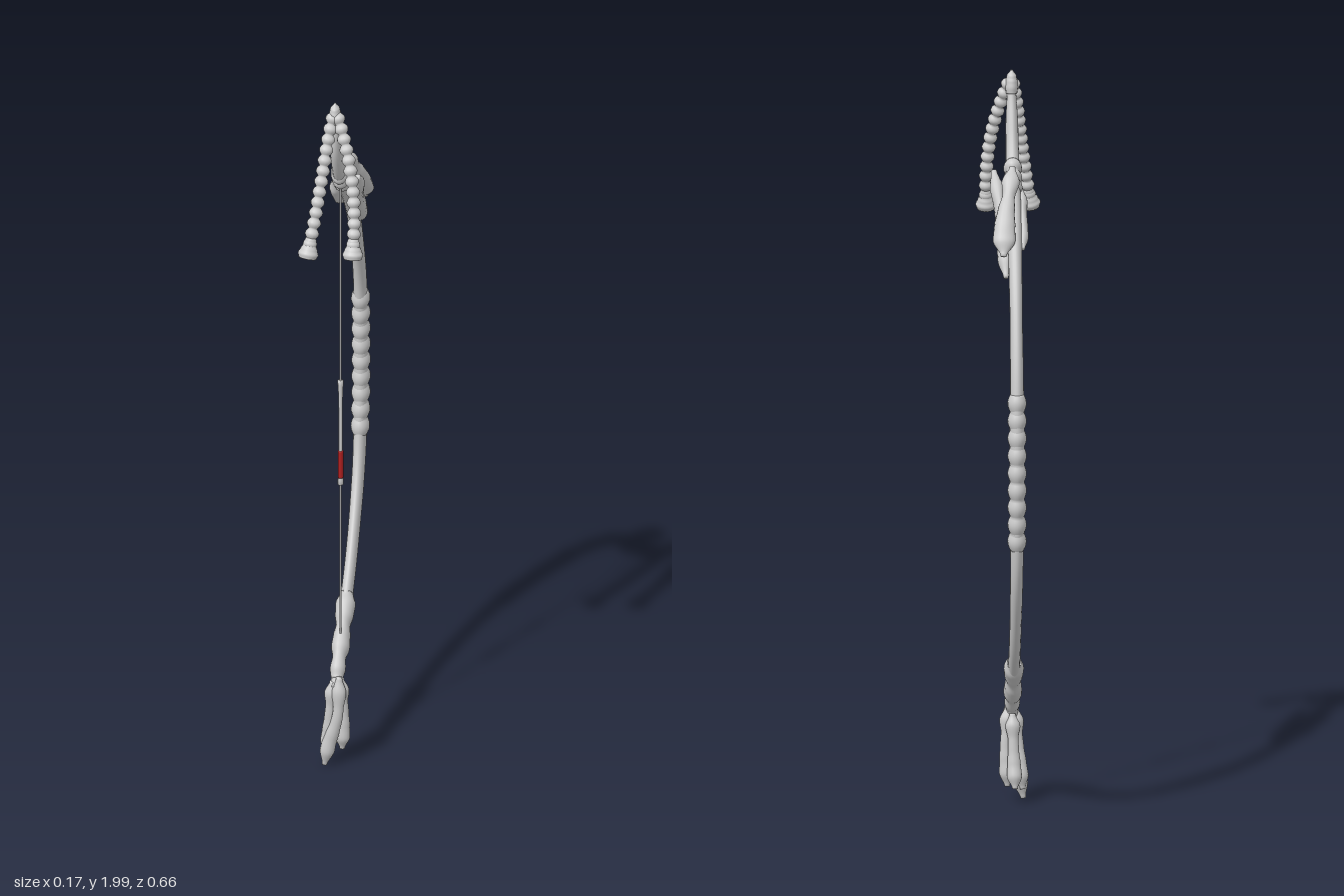
import * as THREE from 'three';

const grey = new THREE.MeshStandardMaterial({ color: 0xcccccc });
const red = new THREE.MeshStandardMaterial({ color: 0xb02020 });
const CX = -0.005; // the bow plane

const curveOf = pts => new THREE.CatmullRomCurve3(pts.map(p => new THREE.Vector3(...p)), false, 'centripetal');
// same, from [z, y] points lying in the bow plane
const planar = pts => curveOf(pts.map(([z, y]) => [CX, y, z]));

// smooth interpolation through evenly spaced values
function profile(values) {
  return t => {
    const f = Math.min(t, 0.99999) * (values.length - 1), i = Math.floor(f);
    return THREE.MathUtils.lerp(values[i], values[i + 1], THREE.MathUtils.smoothstep(f - i, 0, 1));
  };
}

// Closed elliptical tube: rx is the half width across x, rn the half depth in the bow plane
function sweep(name, curve, rx, rn, rows = 48, sides = 16, material = grey) {
  const pos = [], index = [];
  const T = new THREE.Vector3(), u = new THREE.Vector3(), v = new THREE.Vector3();
  for (let i = -1; i <= rows + 1; i++) {
    const t = THREE.MathUtils.clamp(i / rows, 0, 1);
    const size = i < 0 || i > rows ? 0 : 1; // end rings collapse into caps
    const p = curve.getPointAt(t);
    curve.getTangentAt(t, T);
    u.set(1, 0, 0).addScaledVector(T, -T.x).normalize();
    v.crossVectors(T, u);
    for (let j = 0; j < sides; j++) {
      const a = j / sides * Math.PI * 2;
      const q = p.clone().addScaledVector(u, Math.cos(a) * rx(t) * size).addScaledVector(v, Math.sin(a) * rn(t) * size);
      pos.push(q.x, q.y, q.z);
    }
  }
  for (let i = 0; i < rows + 2; i++) {
    for (let j = 0; j < sides; j++) {
      const a = i * sides + j, b = i * sides + (j + 1) % sides;
      index.push(a, b, a + sides, b, b + sides, a + sides);
    }
  }
  const g = new THREE.BufferGeometry();
  g.setAttribute('position', new THREE.Float32BufferAttribute(pos, 3));
  g.setIndex(index);
  g.computeVertexNormals();
  const mesh = new THREE.Mesh(g, material);
  mesh.name = name;
  return mesh;
}

// Rounded windings: radius swells n times along the length
const bulges = (r, depth, n) => t => r + depth * (Math.abs(Math.sin(t * n * Math.PI)) - 0.5);

function createRope(name, pts) {
  const group = new THREE.Group();
  group.name = name;
  const curve = curveOf(pts);
  const r = bulges(0.015, 0.008, 13);
  group.add(sweep('twistedCord', curve, r, r, 104, 14));
  // flared tassel at the loose end
  const end = curve.getPointAt(1), dir = curve.getTangentAt(1);
  const pt = d => end.clone().addScaledVector(dir, d).toArray();
  const flare = profile([0.012, 0.016, 0.018, 0.023, 0.028, 0.024]);
  group.add(sweep('tassel', curveOf([pt(-0.035), pt(0), pt(0.025)]), flare, flare, 20, 18));
  return group;
}

export function createModel() {
  const bow = new THREE.Group();
  bow.name = 'bow';

  // curved limb from top tip to bottom tip
  const limb = planar([
    [0.18, 1.985], [0.168, 1.9], [0.14, 1.82], [0.085, 1.74], [0, 1.67], [-0.1, 1.575], [-0.19, 1.45],
    [-0.258, 1.3], [-0.286, 1.18], [-0.293, 1], [-0.277, 0.8], [-0.25, 0.7], [-0.195, 0.6], [-0.11, 0.49],
    [-0.01, 0.4], [0.08, 0.325], [0.13, 0.285], [0.16, 0.24],
  ]);
  bow.add(sweep('limb', limb,
    profile([0.01, 0.017, 0.019, 0.02, 0.018, 0.017, 0.018, 0.02, 0.02, 0.018, 0.017, 0.016, 0.016, 0.018, 0.016]),
    profile([0.014, 0.031, 0.028, 0.03, 0.028, 0.029, 0.03, 0.03, 0.029, 0.03, 0.031, 0.031, 0.03, 0.027, 0.018]),
    120, 20));

  // rounded top cap where the ropes are tied
  const cap = profile([0.003, 0.013, 0.016, 0.017, 0.015]);
  bow.add(sweep('topCap', planar([[0.18, 1.998], [0.18, 1.97], [0.176, 1.935]]), cap, t => cap(t) * 1.45, 20));

  // wound grip
  bow.add(sweep('grip', planar([[-0.284, 1.21], [-0.292, 1.1], [-0.294, 1], [-0.288, 0.88], [-0.275, 0.785]]),
    bulges(0.022, 0.007, 9), bulges(0.031, 0.006, 9), 90, 20));

  // windings on the lower and upper limb
  bow.add(sweep('lowerBinding', planar([[-0.035, 0.425], [0.01, 0.385], [0.065, 0.335], [0.115, 0.295], [0.15, 0.26]]),
    profile([0.018, 0.027, 0.025, 0.019, 0.023, 0.025, 0.018, 0.021, 0.016]),
    profile([0.026, 0.034, 0.033, 0.028, 0.034, 0.034, 0.027, 0.028, 0.018]), 48, 18));
  bow.add(sweep('upperBinding', planar([[0.1, 1.76], [0.065, 1.722], [0.03, 1.695]]),
    bulges(0.022, 0.006, 3), bulges(0.032, 0.006, 3), 36, 18));

  // two hanging ropes at the top
  bow.add(createRope('leftRope', [[0, 1.97, 0.185], [0.022, 1.91, 0.205], [0.048, 1.81, 0.24], [0.06, 1.7, 0.27], [0.06, 1.62, 0.292]]));
  bow.add(createRope('rightRope', [[-0.008, 1.97, 0.185], [-0.02, 1.9, 0.21], [-0.032, 1.8, 0.245], [-0.045, 1.7, 0.278], [-0.057, 1.62, 0.303]]));

  // long leaves bound to the upper limb: path, half width, half depth
  const leaves = [
    [[[-0.002, 1.768, 0.01], [0.006, 1.72, -0.03], [0.02, 1.65, -0.09], [0.027, 1.56, -0.155]],
      [0.008, 0.024, 0.017, 0.023, 0.028, 0.03, 0.008], [0.008, 0.02, 0.02, 0.023, 0.024, 0.02, 0.006]],
    [[[0.045, 1.74, 0.095], [0.037, 1.69, 0.045], [0.028, 1.62, -0.02], [0.022, 1.555, -0.085], [0.02, 1.5, -0.145]],
      [0.008, 0.018, 0.015, 0.016, 0.02, 0.02, 0.007], [0.008, 0.022, 0.03, 0.029, 0.03, 0.026, 0.007]],
    [[[-0.026, 1.7, 0.055], [-0.027, 1.655, 0.01], [-0.028, 1.61, -0.05], [-0.026, 1.57, -0.108]],
      [0.006, 0.016, 0.013, 0.014, 0.015, 0.006], [0.006, 0.022, 0.026, 0.026, 0.02, 0.006]],
  ];
  leaves.forEach(([path, w, d]) => bow.add(sweep('upperLeaf', curveOf(path), profile(w), profile(d), 40, 16)));

  // shorter leaves hanging from the bottom tip
  const hanging = [
    [[0.004, 0.275, 0.165], [0, 0.16, 0.172], [-0.025, 0.07, 0.166], [-0.036, 0.012, 0.164]],
    [[0.006, 0.265, 0.15], [0.012, 0.16, 0.142], [0.01, 0.1, 0.14], [0.008, 0.05, 0.138]],
    [[-0.006, 0.25, 0.13], [-0.008, 0.16, 0.12], [-0.01, 0.1, 0.112], [-0.012, 0.05, 0.1]],
    [[-0.014, 0.26, 0.16], [-0.022, 0.16, 0.158], [-0.028, 0.09, 0.152], [-0.034, 0.04, 0.148]],
  ];
  hanging.forEach(path => bow.add(sweep('hangingLeaf', curveOf(path),
    profile([0.008, 0.02, 0.014, 0.015, 0.018, 0.02, 0.007]),
    profile([0.008, 0.017, 0.013, 0.013, 0.015, 0.018, 0.006]), 40, 14)));

  // bowstring with a thicker sleeve and a red band near its lower end
  const onString = (name, y0, y1, radii, material) =>
    bow.add(sweep(name, planar([[0.08, y0], [0.08, y1]]), profile(radii), profile(radii), 24, 10, material));
  onString('string', 0.33, 1.75, [0.0028, 0.0028]);
  onString('stringSleeve', 0.81, 1.12, [0.008, 0.006, 0.005, 0.005, 0.005, 0.005, 0.006, 0.008]);
  onString('redBand', 0.83, 0.91, [0.0075, 0.0075], red);

  return bow;
}
